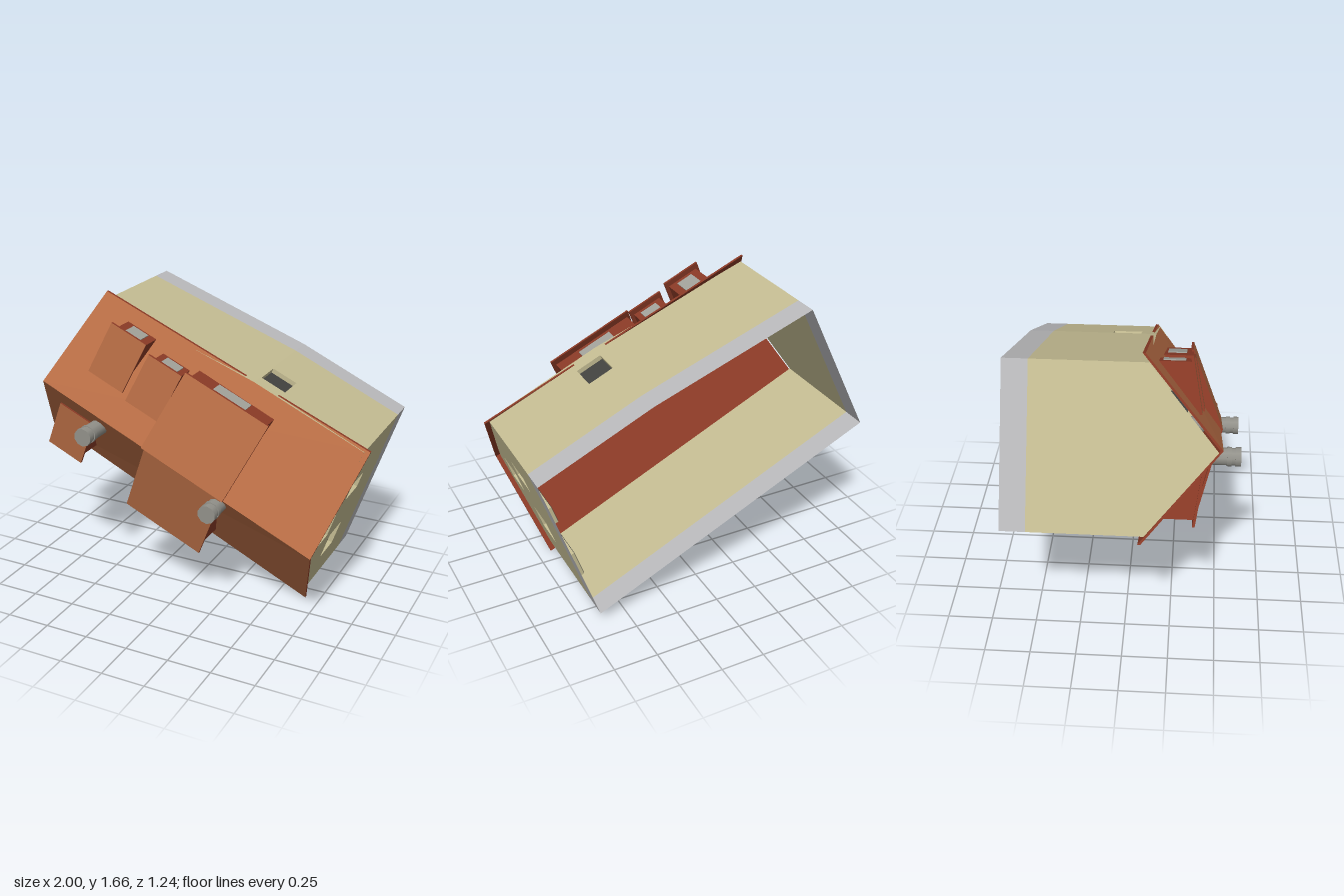
import * as THREE from 'three';

const mat = (name, color, both) => {
  const m = new THREE.MeshStandardMaterial({ color });
  m.name = name;
  if (both) m.side = THREE.DoubleSide;
  return m;
};

export function createModel() {
  const M = {
    tile: mat('roof tile orange', 0xb66c44, true),
    red: mat('eave red', 0x8a3a26, true),
    wall: mat('plaster beige', 0xc4bc92, true),
    base: mat('plinth grey', 0xb9b9bb, true),
    glass: mat('dark window', 0x42423f),
    pane: mat('dormer glass', 0xa2a29a),
    stone: mat('chimney grey', 0x92918a),
  };
  const house = new THREE.Group();
  house.name = 'house';
  const add = (parent, name, geo, material) => {
    const m = new THREE.Mesh(geo, material);
    m.name = name;
    parent.add(m);
    return m;
  };

  // flat polygon (fan) from corner points, any number of polygons per mesh
  const faces = (...polys) => {
    const pos = [];
    for (const p of polys)
      for (let i = 1; i < p.length - 1; i++)
        for (const q of [p[0], p[i], p[i + 1]]) pos.push(...q);
    const g = new THREE.BufferGeometry();
    g.setAttribute('position', new THREE.Float32BufferAttribute(pos, 3));
    g.computeVertexNormals();
    return g;
  };

  // tiled slab: orange top, red underside and edges (corners counterclockwise from +z)
  const slab = (parent, name, top, t) => {
    const low = top.map(([x, y, z]) => [x, y, z - t]);
    add(parent, name, faces(top), M.tile);
    const edges = top.map((p, i) => {
      const j = (i + 1) % top.length;
      return [p, low[i], low[j], top[j]];
    });
    add(parent, name + 'Edge', faces(low.slice().reverse(), ...edges), M.red);
  };

  // ---- walls: the house points its roof along +z, its plan lies in x and y
  const Z0 = -0.62, Z1 = -0.485, ZT = 0.115;
  const rect = (T, a, b, c, d) => new T()
    .moveTo(a, c).lineTo(b, c).lineTo(b, d).lineTo(a, d).closePath();

  const wall = (name, P, Q, peak, wins = []) => {
    const g = new THREE.Group();
    g.name = name;
    const L = Math.hypot(Q[0] - P[0], Q[1] - P[1]);
    const X = new THREE.Vector3((Q[0] - P[0]) / L, (Q[1] - P[1]) / L, 0);
    const Y = new THREE.Vector3(0, 0, 1);
    g.quaternion.setFromRotationMatrix(
      new THREE.Matrix4().makeBasis(X, Y, new THREE.Vector3().crossVectors(X, Y)));
    g.position.set(P[0], P[1], 0);
    const s = new THREE.Shape().moveTo(0, Z1).lineTo(L, Z1).lineTo(L, ZT);
    if (peak) s.lineTo(L * peak, 0.478);
    s.lineTo(0, ZT).closePath();
    for (const [f0, f1, z0, z1] of wins) {
      const a = f0 * L, b = f1 * L, e = 0.004, depth = 0.03;
      s.holes.push(rect(THREE.Path, a, b, z0, z1));
      // recessed pane and reveal
      add(g, 'window', new THREE.BoxGeometry(b - a, z1 - z0, 0.006), M.glass)
        .position.set((a + b) / 2, (z0 + z1) / 2, -depth);
      const ring = rect(THREE.Shape, a - e, b + e, z0 - e, z1 + e);
      ring.holes.push(rect(THREE.Path, a, b, z0, z1));
      add(g, 'windowReveal',
        new THREE.ExtrudeGeometry(ring, { depth, bevelEnabled: false }), M.wall)
        .position.z = -depth;
    }
    add(g, 'wallPanel', new THREE.ShapeGeometry(s), M.wall);
    add(g, 'plinth', new THREE.ShapeGeometry(rect(THREE.Shape, 0, L, Z0, Z1)), M.base);
    house.add(g);
  };

  const A = [-0.985, 0.83], D = [0.655, 0.055], C = [0.97, 0.98];
  const K = [0.33, 1.272], B = [-0.595, 1.615];
  const fy = y => (y - D[1]) / (C[1] - D[1]);
  const fx = x => (x - C[0]) / (K[0] - C[0]);
  const gableWins = [[0.45, 0.59, 0.125, 0.31]];
  for (const [a, b] of [[0.64, 0.735], [0.25, 0.4]])
    for (const [c, d] of [[-0.16, 0.03], [-0.49, -0.3]]) gableWins.push([a, b, c, d]);
  wall('lowerWall', A, D);
  wall('rightGable', D, C, 0.483, gableWins.map(([a, b, c, d]) => [fy(a), fy(b), c, d]));
  wall('upperWall', C, K, 0, [[fx(0.475), fx(0.335), -0.14, 0.025]]);
  wall('upperWallBend', K, B);
  wall('leftGable', B, A, 0.5);

  // ---- main roof
  const R0 = [-0.778, 1.227, 0.5], R1 = [0.832, 0.495, 0.5];
  slab(house, 'lowerRoof', [[-1, 0.79, 0.1], [0.667, 0.005, 0.1], R1, R0], 0.016);
  slab(house, 'upperRoof', [R0, R1, [1, 0.98, 0.1], [-0.588, 1.664, 0.1]], 0.016);

  // ---- dormers: u runs along the ridge, v across it
  const P = (u, v, z) => [R0[0] + 0.91 * u + 0.414 * v, R0[1] - 0.414 * u + 0.91 * v, z];
  const roofZ = v => 0.5 - 0.81 * Math.abs(v);

  const dormer = (name, u0, u1, vTop, vEdge, zEdge, p0, p1) => {
    const g = new THREE.Group();
    g.name = name;
    const s = Math.sign(vEdge), zTop = roofZ(vTop) + 0.012;
    const quad = [P(u0, vTop, zTop), P(u1, vTop, zTop), P(u1, vEdge, zEdge), P(u0, vEdge, zEdge)];
    slab(g, 'dormerRoof', s > 0 ? quad : quad.reverse(), 0.014);
    // cheeks and front
    const a = u0 + 0.02, b = u1 - 0.02, v = vEdge - s * 0.035;
    const zf = zEdge - 0.008, zr = roofZ(v);
    const cheek = u => [P(u, vTop, zTop - 0.012), P(u, v, zf), P(u, v, zr)];
    add(g, 'dormerCheeks', faces(cheek(a), cheek(b)), M.red);
    add(g, 'dormerFront', faces([P(a, v, zr), P(b, v, zr), P(b, v, zf), P(a, v, zf)]), M.red);
    // glass
    const pane = add(g, 'dormerPane',
      new THREE.BoxGeometry(p1 - p0, 0.008, zf - zr - 0.05), M.pane);
    pane.position.set(...P((p0 + p1) / 2, v + s * 0.002, (zf + zr) / 2 - 0.005));
    pane.rotation.z = Math.atan2(-0.414, 0.91);
    house.add(g);
  };
  dormer('upperDormerLeft', 0.183, 0.415, 0.15, 0.455, 0.335, 0.25, 0.35);
  dormer('upperDormerMiddle', 0.455, 0.674, 0.13, 0.42, 0.348, 0.515, 0.62);
  dormer('upperDormerWide', 0.68, 1.215, 0, 0.443, 0.335, 0.84, 1.05);
  dormer('lowerDormerSmall', 0.107, 0.34, -0.12, -0.422, 0.37, 0.17, 0.28);
  dormer('lowerDormerWide', 0.7, 1.205, 0, -0.461, 0.39, 0.83, 1.07);

  // ---- chimneys with a collar
  for (const [x, y, top] of [[-0.47, 0.982, 0.605], [0.287, 0.687, 0.617]]) {
    const c = new THREE.Group();
    c.name = 'chimney';
    const part = (name, r, z0, z1) => {
      const m = add(c, name,
        new THREE.CylinderGeometry(r, r, z1 - z0, 10).rotateX(Math.PI / 2), M.stone);
      m.position.set(x, y, (z0 + z1) / 2);
    };
    part('stack', 0.047, 0.33, top - 0.01);
    part('collar', 0.052, top - 0.075, top - 0.05);
    part('cap', 0.052, top - 0.03, top);
    house.add(c);
  }
  return house;
}
